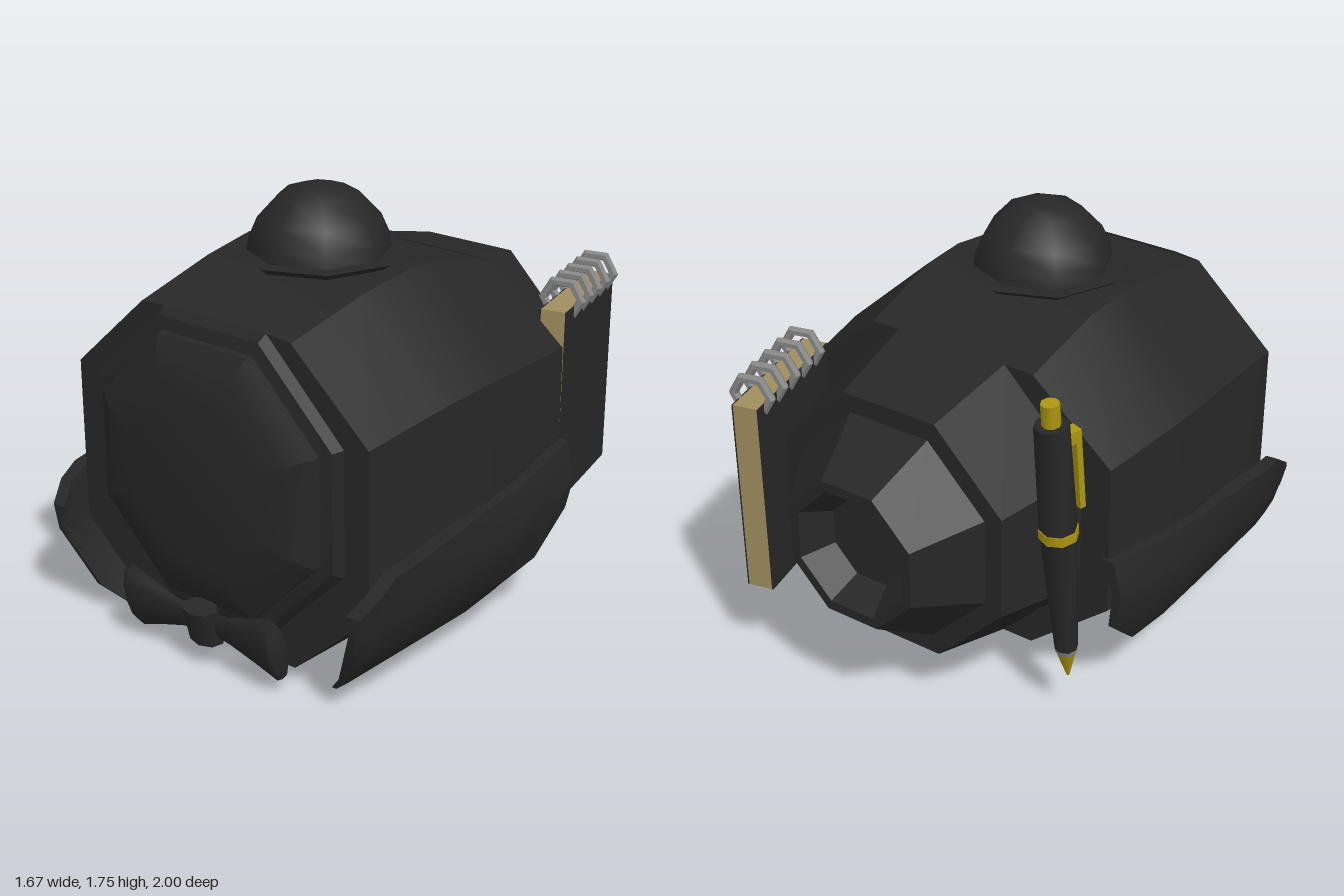
import * as THREE from 'three';
import { toCreasedNormals } from 'three/addons/utils/BufferGeometryUtils.js';

const mat = (name, color) => Object.assign(new THREE.MeshStandardMaterial({ color }), { name });

// Closed skin over cross-sections ordered front to back, points anticlockwise seen from +z
function loft(sections, crease = 0.4) {
  const n = sections[0].length, pos = [], idx = [];
  sections.forEach(s => s.forEach(p => pos.push(...p)));
  for (let i = 0; i < sections.length - 1; i++) {
    for (let j = 0; j < n; j++) {
      const k = (j + 1) % n, a = i * n + j, b = i * n + k, c = b + n, d = a + n;
      idx.push(a, d, c, a, c, b);
    }
  }
  [sections[0], sections.at(-1)].forEach((s, e) => {
    const centre = pos.length / 3, base = e ? (sections.length - 1) * n : 0;
    pos.push(...[0, 1, 2].map(c => s.reduce((t, p) => t + p[c], 0) / n));
    for (let j = 0; j < n; j++) {
      const a = base + j, b = base + (j + 1) % n;
      idx.push(...(e ? [centre, b, a] : [centre, a, b]));
    }
  });
  const g = new THREE.BufferGeometry();
  g.setAttribute('position', new THREE.Float32BufferAttribute(pos, 3));
  g.setIndex(idx);
  return toCreasedNormals(g, crease);
}

// Octagon section: half width, top, bottom, and corner position as a share of the half size
function octagon(z, w, top, bottom, k = 0.414) {
  const m = (top + bottom) / 2, h = (top - bottom) / 2;
  return [[1, k], [k, 1], [-k, 1], [-1, k], [-1, -k], [-k, -1], [k, -1], [1, -k]]
    .map(([x, y]) => [x * w, m + y * h, z]);
}
const regular = (z, r) => octagon(z, r, 0.77 + r, 0.77 - r);

// Linear reading of a profile of [input, output] pairs
function sample(profile, v) {
  for (let i = 1; i < profile.length; i++) {
    const [a, fa] = profile[i - 1], [b, fb] = profile[i];
    if (v <= b) return THREE.MathUtils.mapLinear(v, a, b, fa, fb);
  }
  return profile.at(-1)[1];
}

export function createModel() {
  const dark = mat('charcoal', 0x272727);
  const gold = mat('gold', 0xac960f);
  const paper = mat('paper', 0x9f8e5f);
  const steel = mat('steel', 0x868686);

  const model = new THREE.Group();
  model.name = 'model';
  const add = (name, geo, material, parent = model, x = 0, y = 0, z = 0) => {
    const mesh = new THREE.Mesh(geo, material);
    mesh.name = name;
    mesh.position.set(x, y, z);
    parent.add(mesh);
    return mesh;
  };
  const group = (name, x, y, z) => {
    const g = new THREE.Group();
    g.name = name;
    g.position.set(x, y, z);
    model.add(g);
    return g;
  };

  // Octagonal body: front plate, bulging shell, stepped tail with a recessed opening
  add('body', loft([
    regular(0.98, 0.3), regular(0.95, 0.44), regular(0.9, 0.52), regular(0.87, 0.52),
    regular(0.86, 0.57), regular(0.83, 0.6),
    octagon(0.83, 0.71, 1.36, 0.07, 0.51),
    octagon(0.45, 0.755, 1.44, 0.07, 0.5),
    octagon(0.2, 0.78, 1.47, 0.07, 0.5),
    octagon(0, 0.775, 1.46, 0.08, 0.5),
    octagon(-0.37, 0.72, 1.36, 0.17, 0.52),
    regular(-0.37, 0.595), regular(-0.75, 0.505), regular(-0.75, 0.43),
    regular(-1, 0.28), regular(-1, 0.24), regular(-0.88, 0.17),
  ]), dark);

  // Hat: eight-sided brim and dome
  const hat = group('hat', 0, 1.46, 0.235);
  add('hatBrim', toCreasedNormals(new THREE.CylinderGeometry(0.345, 0.3, 0.03, 8), 0.4), dark, hat, 0, 0.015);
  const dome = [[0.28, 0], [0.27, 0.07], [0.235, 0.15], [0.15, 0.24], [0.07, 0.268], [0, 0.275]];
  add('hatDome', new THREE.LatheGeometry(dome.map(p => new THREE.Vector2(...p)), 8), dark, hat, 0, 0.01);

  // Curved flaps along both lower sides: [z, top, bottom, outward shift]
  const stations = [
    [0.96, 0.46, 0.36, -0.03], [0.88, 0.53, 0.12, -0.01], [0.8, 0.58, 0.03, 0], [0.7, 0.59, 0, 0.01],
    [0.35, 0.63, 0.01, 0.02], [0.05, 0.66, 0.05, 0.025], [-0.2, 0.685, 0.24, 0.01], [-0.38, 0.69, 0.4, -0.03],
  ];
  const bulge = [[0, 0.5], [0.13, 0.65], [0.29, 0.76], [0.54, 0.82], [0.7, 0.78]];
  for (const side of [1, -1]) {
    const sections = stations.map(([z, top, bottom, shift]) => {
      const outer = [], inner = [];
      for (let i = 0; i <= 4; i++) {
        const y = THREE.MathUtils.lerp(bottom, top, i / 4), x = sample(bulge, y) + shift;
        outer.push([side * x, y, z]);
        inner.unshift([side * (x - 0.02 - 0.01 * i), y, z]);
      }
      const ring = [...outer, ...inner];
      return side > 0 ? ring : ring.reverse();
    });
    add(side > 0 ? 'leftFlap' : 'rightFlap', loft(sections, 0.5), dark);
  }

  // Bow tie, leaning forward at the top
  const bow = group('bowTie', 0, 0.185, 0.93);
  bow.rotation.x = 0.25;
  const lobe = [[0.05, 0.04], [0.065, 0.12], [0.105, 0.24], [0.145, 0.345], [0.13, 0.37], [0, 0.38]];
  for (const side of [1, -1]) {
    const geo = new THREE.LatheGeometry(lobe.map(p => new THREE.Vector2(...p)), 10);
    geo.scale(1, 1, 0.36).rotateZ(-side * Math.PI / 2);
    add(side > 0 ? 'leftBowLobe' : 'rightBowLobe', geo, dark, bow);
  }
  const knot = new THREE.CylinderGeometry(0.08, 0.08, 0.15, 8).scale(1, 1, 0.65);
  add('bowKnot', toCreasedNormals(knot, 0.9), dark, bow, 0, 0, 0.005);

  // Ring-bound notebook on the left rear
  const book = group('notebook', 0.588, 0.795, -0.665);
  book.rotation.set(-0.015, 0.23, 0);
  add('pages', new THREE.BoxGeometry(0.1, 0.81, 0.565), paper, book);
  for (const side of [1, -1]) {
    add('cover', new THREE.BoxGeometry(0.006, 0.81, 0.565), dark, book, side * 0.053);
  }
  for (let i = 0; i < 5; i++) {
    const ring = new THREE.TorusGeometry(0.078, 0.02, 6, 6);
    add('bindingRing', toCreasedNormals(ring, 0.6), steel, book, 0, 0.425, -0.22 + i * 0.1);
  }

  // Pen on the right rear, tip down and leaning forward
  const pen = group('pen', -0.615, 0.82, -0.542);
  pen.rotation.set(-0.1, 0, -0.012);
  const rod = (name, rTop, rBottom, from, to, material) =>
    add(name, toCreasedNormals(new THREE.CylinderGeometry(rTop, rBottom, to - from, 8), 0.9),
      material, pen, 0, (from + to) / 2, 0);
  rod('penButton', 0.036, 0.036, 0.5, 0.61, gold);
  rod('penUpperBarrel', 0.066, 0.072, 0.07, 0.52, dark);
  rod('penBand', 0.076, 0.076, 0.03, 0.07, gold);
  rod('penLowerBarrel', 0.07, 0.045, -0.5, 0.03, dark);
  rod('penCollar', 0.045, 0.042, -0.52, -0.5, steel);
  rod('penTip', 0.04, 0.006, -0.64, -0.52, gold);
  const clip = new THREE.Group();
  clip.name = 'penClip';
  clip.rotation.y = -0.3;
  pen.add(clip);
  add('clipArm', new THREE.BoxGeometry(0.05, 0.34, 0.025), gold, clip, 0, 0.29, 0.1);
  add('clipBridge', new THREE.BoxGeometry(0.05, 0.05, 0.06), gold, clip, 0, 0.435, 0.08);

  return model;
}
